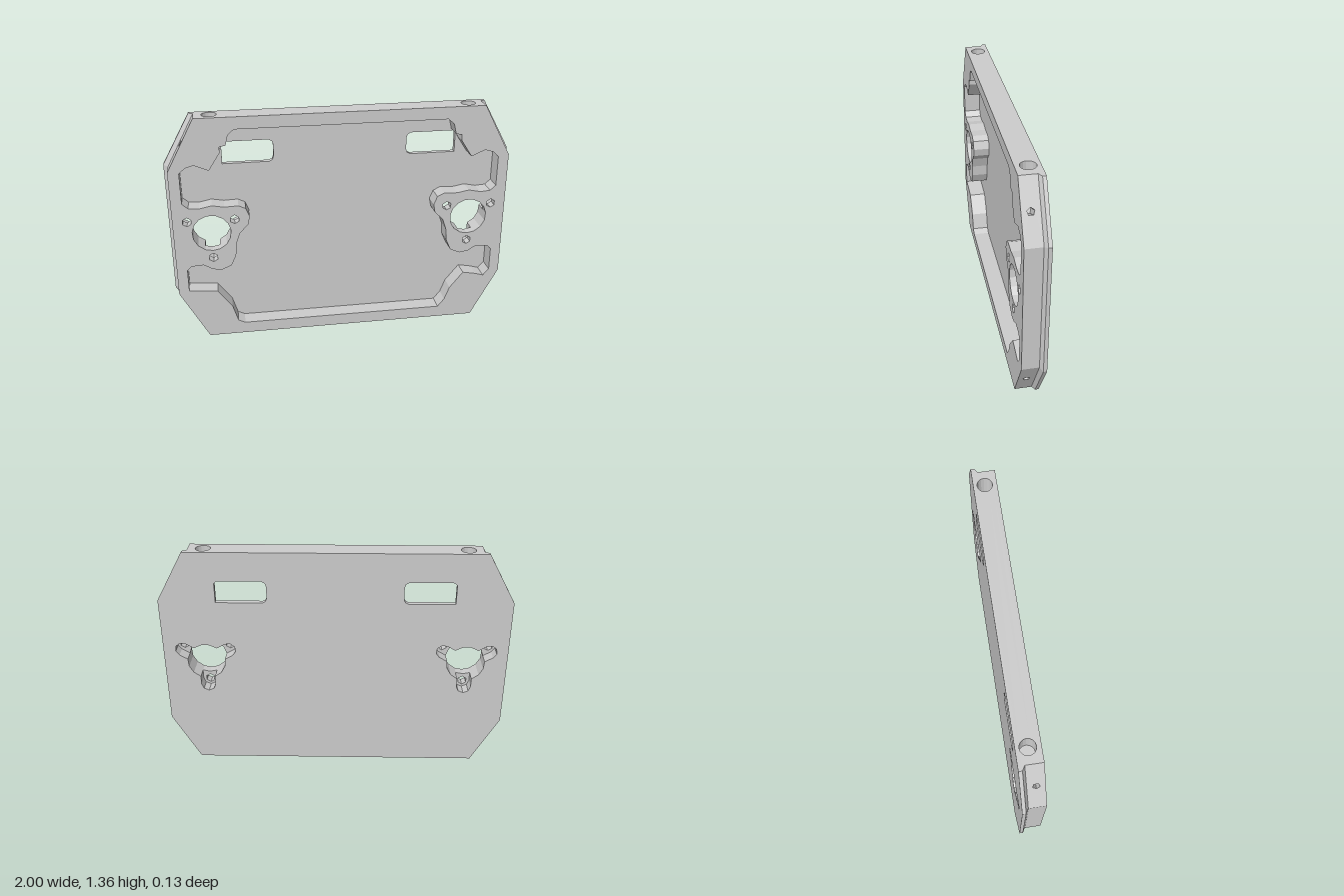
import * as THREE from 'three';
import { mergeGeometries } from 'three/addons/utils/BufferGeometryUtils.js';

const H = 1.36, BACK = -0.065, FRONT = 0.065, FLOOR = -0.035, SEAT = 0.01;
const LIP0 = -0.045, LIP1 = -0.03; // sloped edge between back flange and body

const vecs = (list) => list.map(([x, y]) => new THREE.Vector2(x, y));
const ccw = (loop) => (THREE.ShapeUtils.area(loop) < 0 ? [...loop].reverse() : loop);
const mirror = (list) => list.map(([x, y]) => [-x, y]);

function ring(cx, cy, r, n, start = 0) {
  return Array.from({ length: n }, (_, i) => {
    const t = start + (i / n) * Math.PI * 2;
    return new THREE.Vector2(cx + r * Math.cos(t), cy + r * Math.sin(t));
  });
}

// flat face with holes at depth z, facing +z, or -z when back is true
function cap(outline, holes, z, back = false) {
  const shape = new THREE.Shape(ccw(outline));
  holes.forEach((h) => shape.holes.push(new THREE.Path(h)));
  const g = new THREE.ShapeGeometry(shape).toNonIndexed();
  g.deleteAttribute('uv');
  g.translate(0, 0, z);
  if (back) {
    const p = g.attributes.position;
    for (let i = 0; i < p.count; i += 3) {
      const x = p.getX(i), y = p.getY(i);
      p.setXY(i, p.getX(i + 1), p.getY(i + 1));
      p.setXY(i + 1, x, y);
    }
  }
  g.computeVertexNormals();
  return g;
}

// strip between a loop at z0 and a matching loop at z1; inward for holes
function wall(a, z0, b, z1, inward = false, edges = null) {
  const pos = [];
  a.forEach((p, i) => {
    if (edges && !edges.includes(i)) return;
    const j = (i + 1) % a.length;
    const q = [[p.x, p.y, z0], [a[j].x, a[j].y, z0], [b[j].x, b[j].y, z1], [b[i].x, b[i].y, z1]];
    (inward ? [0, 2, 1, 0, 3, 2] : [0, 1, 2, 0, 2, 3]).forEach((k) => pos.push(...q[k]));
  });
  const g = new THREE.BufferGeometry();
  g.setAttribute('position', new THREE.Float32BufferAttribute(pos, 3));
  g.computeVertexNormals();
  return g;
}
const holeWall = (loop, z0, z1) => wall(ccw(loop), z0, ccw(loop), z1, true);

function octagon(bx, w, y1) {
  const y2 = H - y1;
  return vecs([[-bx, 0], [bx, 0], [w, y1], [w, y2], [bx, H], [-bx, H], [-w, y2], [-w, y1]]);
}

// edge face standing on p -> q, with blind holes [u, z, radius, sides, depth]
function edgePanel(p, q, outline, bores) {
  const loops = bores.map(([u, z, r, n]) => ring(u, z, r, n));
  const parts = [cap(outline, loops, 0)];
  bores.forEach((b, i) => parts.push(holeWall(loops[i], -b[4], 0), cap(loops[i], [], -b[4])));
  const U = new THREE.Vector3(q.x - p.x, q.y - p.y, 0).normalize();
  const Z = new THREE.Vector3(0, 0, 1);
  const m = new THREE.Matrix4().makeBasis(U, Z, U.clone().cross(Z));
  m.setPosition((p.x + q.x) / 2, (p.y + q.y) / 2, 0);
  return mergeGeometries(parts).applyMatrix4(m);
}

// motor opening: round bore, three screw holes, three rear slots
function mount(cx, cy) {
  const R = 0.11, D = 0.155, w = 0.042, a = Math.asin(w / R);
  const at = (r, t) => new THREE.Vector2(cx + r * Math.cos(t), cy + r * Math.sin(t));
  const bore = [], trefoil = [], lobes = [], screws = [];
  for (let k = 0; k < 3; k++) {
    const t = -Math.PI / 2 + (k * Math.PI * 2) / 3;
    const c = at(D, t);
    const end = [-1, -0.5, 0, 0.5, 1].map((s) => new THREE.Vector2(
      c.x + w * Math.cos(t + s * Math.PI / 2), c.y + w * Math.sin(t + s * Math.PI / 2)));
    const gap = [1, 2].map((i) => at(R, t + a + (i / 3) * (Math.PI * 2 / 3 - 2 * a)));
    bore.push(at(R, t - a), at(R, t), at(R, t + a), ...gap);
    trefoil.push(at(R, t - a), ...end, at(R, t + a), ...gap);
    lobes.push([at(R, t - a), ...end, at(R, t + a), at(R, t)]);
    screws.push(ring(c.x, c.y, 0.027, 6, t));
  }
  const parts = [holeWall(trefoil, BACK, SEAT), holeWall(bore, SEAT, FRONT)];
  lobes.forEach((l, i) => parts.push(cap(l, [screws[i]], SEAT, true), holeWall(screws[i], SEAT, FRONT)));
  return { trefoil, front: [bore, ...screws], geometry: mergeGeometries(parts) };
}

export function createModel() {
  const group = new THREE.Group();
  const material = new THREE.MeshStandardMaterial({ color: 0xcccccc, flatShading: true, side: THREE.DoubleSide });
  const add = (name, ...parts) => {
    const mesh = new THREE.Mesh(mergeGeometries(parts), material);
    mesh.name = name;
    group.add(mesh);
  };

  const body = octagon(0.815, 0.975, 0.3);
  const flange = octagon(0.84, 1, 0.29);

  // recess outline, one side from top to bottom
  const upper = [[0.6, 1.29], [0.635, 1.26], [0.65, 1.2], [0.685, 1.195], [0.685, 1.16], [0.75, 1.06],
    [0.83, 1.095], [0.88, 1.08], [0.913, 1.05], [0.913, 0.87], [0.88, 0.84], [0.82, 0.835], [0.75, 0.85],
    [0.68, 0.837], [0.6, 0.84], [0.56, 0.82], [0.54, 0.77], [0.55, 0.72], [0.6, 0.67], [0.625, 0.6],
    [0.63, 0.53], [0.66, 0.465], [0.72, 0.44], [0.77, 0.45], [0.82, 0.48], [0.89, 0.475], [0.915, 0.45]];
  const leftLower = [[0.915, 0.31], [0.88, 0.27], [0.83, 0.285], [0.75, 0.3], [0.67, 0.2], [0.64, 0.12], [0.6, 0.07]];
  const rightLower = [[0.915, 0.315], [0.75, 0.3], [0.67, 0.19], [0.64, 0.09], [0.6, 0.07]];
  const recess = vecs([...upper, ...leftLower, ...mirror([...upper, ...rightLower]).reverse()]);

  // windows with rounded inner corners
  const win = [[0.675, 1.06], [0.675, 1.175], [0.66, 1.19], [0.41, 1.19], [0.392, 1.18], [0.385, 1.16],
    [0.385, 1.09], [0.392, 1.07], [0.41, 1.06]];
  const windows = [vecs(win), vecs(mirror(win))];
  const mounts = [mount(0.755, 0.68), mount(-0.76, 0.68)];

  add('frontFace', cap(body, [recess, ...mounts.flatMap((m) => m.front)], FRONT));
  add('recess', cap(recess, windows, FLOOR), holeWall(recess, FLOOR, FRONT));
  add('backFace', cap(flange, [...windows, ...mounts.map((m) => m.trefoil)], BACK, true));
  add('windowEdges', ...windows.map((w) => holeWall(w, BACK, FLOOR)));
  add('leftMotorMount', mounts[0].geometry);
  add('rightMotorMount', mounts[1].geometry);

  // flange rim and slope, then the straight sides of the body
  const rim = [1, 2, 3, 5, 6, 7];
  add('flangeRim', wall(flange, BACK, flange, LIP0, false, rim), wall(flange, LIP0, body, LIP1, false, rim));
  add('sideWalls', wall(body, LIP1, body, FRONT, false, [2, 6]));

  // top and bottom edges with large bores
  const half = [[0.84, BACK], [0.84, LIP0], [0.815, LIP1], [0.815, FRONT]];
  const longEdge = vecs([...half, ...mirror(half).reverse()]);
  const bores = [-0.73, 0.73].map((u) => [u, -0.002, 0.042, 16, 0.14]);
  add('bottomEdge', edgePanel(body[0], body[1], longEdge, bores));
  add('topEdge', edgePanel(body[4], body[5], longEdge, bores));

  // slanted corner edges with small pilot holes
  add('cornerEdges', ...[1, 3, 5, 7].map((i) => {
    const p = body[i], q = body[(i + 1) % 8], l = p.distanceTo(q) / 2;
    const quad = vecs([[-l, LIP1], [l, LIP1], [l, FRONT], [-l, FRONT]]);
    return edgePanel(p, q, quad, [[0, 0.018, 0.02, 5, 0.09]]);
  }));

  return group;
}
